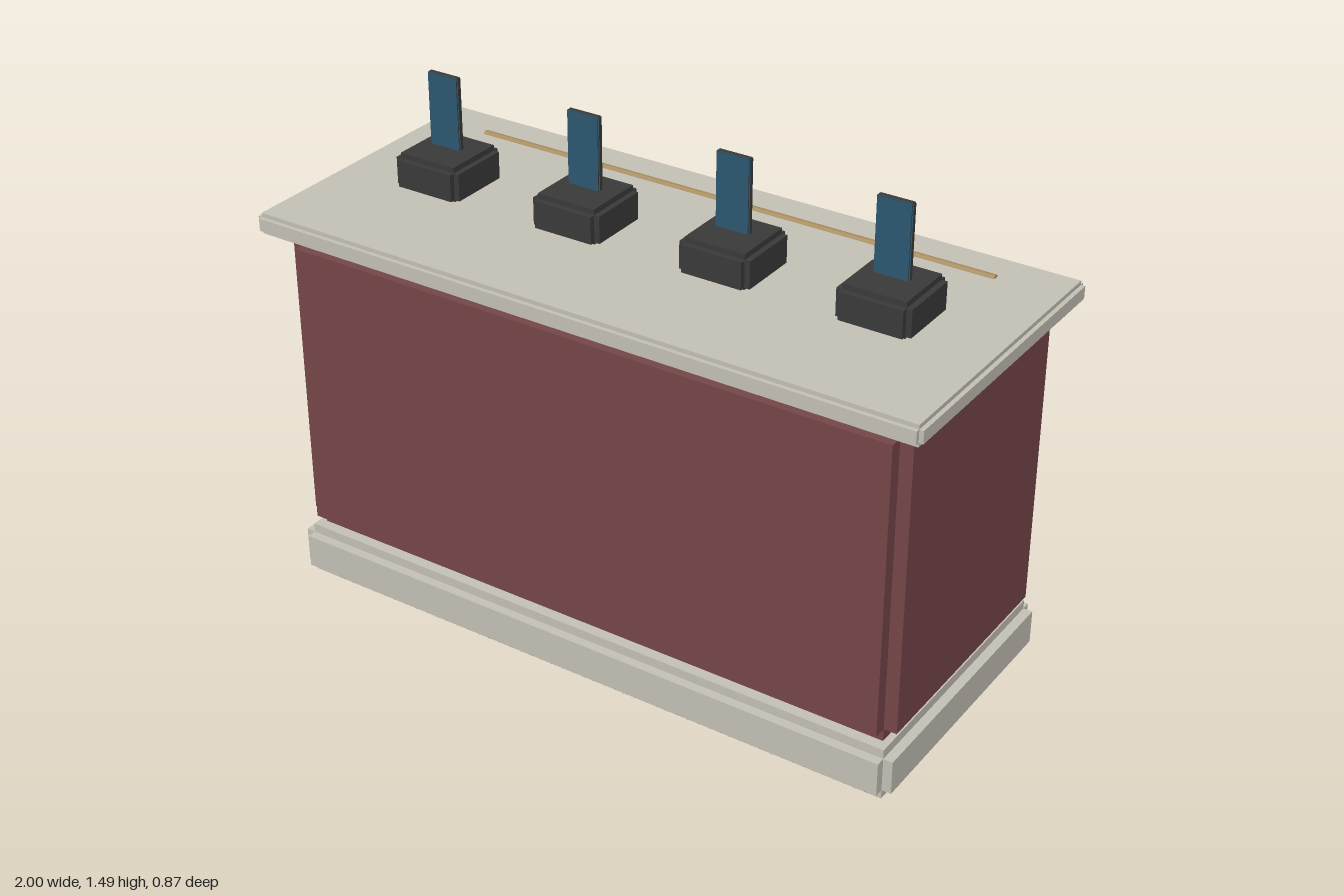
import * as THREE from 'three';

const material = (name, color) => {
  const m = new THREE.MeshStandardMaterial({ color });
  m.name = name;
  return m;
};

export function createModel() {
  const model = new THREE.Group();
  model.name = 'switchBox';

  const maroon = material('maroon', 0x754648);
  const cream = material('cream', 0xc4c0b5);
  const charcoal = material('charcoal', 0x3a3a3a);
  const blue = material('blue', 0x2c5870);
  const brass = material('brass', 0xa68a5b);

  // Box with a square step cut along every edge: three crossing boxes
  function steppedBox(name, w, d, y0, y1, step, mat, x = 0) {
    const group = new THREE.Group();
    group.name = name;
    const h = y1 - y0, s = 2 * step;
    const sizes = [[w, h - s, d - s], [w - s, h, d - s], [w - s, h - s, d]];
    for (const size of sizes) {
      const mesh = new THREE.Mesh(new THREE.BoxGeometry(...size), mat);
      mesh.name = name + 'Block';
      group.add(mesh);
    }
    group.position.set(x, (y0 + y1) / 2, 0);
    model.add(group);
  }

  // Stacked cabinet
  steppedBox('foot', 1.782, 0.726, 0, 0.05, 0.013, charcoal);
  steppedBox('plinth', 1.908, 0.834, 0.037, 0.19, 0.027, cream);
  steppedBox('body', 1.888, 0.79, 0.19, 1.11, 0.037, maroon);
  steppedBox('lid', 2, 0.874, 1.11, 1.17, 0.012, cream);

  // Row of sockets, each with an upright tab that is blue on its front face
  const tabFaces = [charcoal, charcoal, charcoal, charcoal, blue, charcoal];
  for (let i = 0; i < 4; i++) {
    const x = -0.691 + i * 0.456;
    steppedBox('socket', 0.21, 0.21, 1.16, 1.27, 0.016, charcoal, x);
    steppedBox('tab', 0.1, 0.018, 1.277, 1.487, 0.003, tabFaces, x);
  }

  // Thin rail along the back of the lid
  const rail = new THREE.Mesh(new THREE.CylinderGeometry(0.011, 0.011, 1.61, 12), brass);
  rail.name = 'rail';
  rail.rotation.z = Math.PI / 2;
  rail.position.set(-0.003, 1.167, -0.32);
  model.add(rail);

  return model;
}
